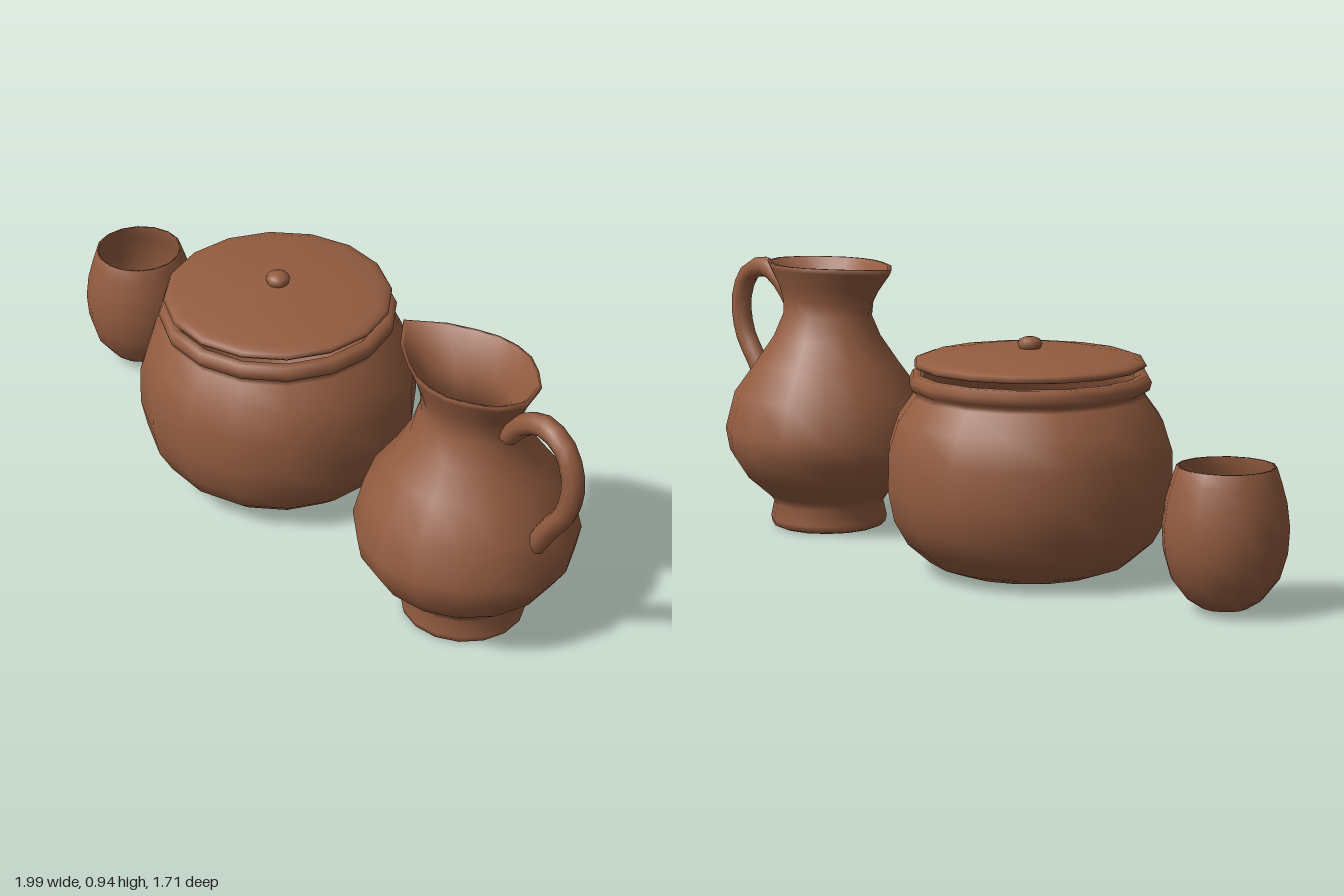
import * as THREE from 'three';
import { mergeVertices } from 'three/addons/utils/BufferGeometryUtils.js';

const SIDES = 16;
const clay = new THREE.MeshStandardMaterial({ color: 0x935c40 });
clay.name = 'clay';

// Turned shape from [radius, height] pairs, with an optional radius rule
function turned(profile, rule) {
  const geo = new THREE.LatheGeometry(profile.map(([r, y]) => new THREE.Vector2(r, y)), SIDES);
  const p = geo.attributes.position;
  if (rule) {
    for (let i = 0; i < p.count; i++) {
      const k = rule(Math.atan2(p.getZ(i), p.getX(i)), p.getY(i));
      p.setX(i, p.getX(i) * k);
      p.setZ(i, p.getZ(i) * k);
    }
  }
  geo.deleteAttribute('uv');
  geo.deleteAttribute('normal');
  const welded = mergeVertices(geo, 1e-5);
  welded.computeVertexNormals();
  return welded;
}

function add(parent, name, geometry) {
  const mesh = new THREE.Mesh(geometry, clay);
  mesh.name = name;
  parent.add(mesh);
  return mesh;
}

function place(parent, name, x, z, degrees) {
  const g = new THREE.Group();
  g.name = name;
  g.position.set(x, 0, z);
  g.rotation.y = THREE.MathUtils.degToRad(degrees);
  parent.add(g);
  return g;
}

// Rim radius from spout tip (first) round to handle side (last)
const RIM = [0.33, 0.25, 0.205, 0.19, 0.185, 0.19, 0.2, 0.23, 0.25];

// Pinches the neck into a spout along -x, fading out down the shoulder
function spoutRule(angle, y) {
  const step = Math.round((Math.PI - Math.abs(angle)) / (Math.PI / 8));
  const t = THREE.MathUtils.smoothstep(y, 0.55, 0.94);
  return THREE.MathUtils.lerp(1, RIM[step] / 0.2, t);
}

export function createModel() {
  const model = new THREE.Group();
  model.name = 'potterySet';

  // Cup
  const cup = place(model, 'cup', -0.802, -0.663, -5);
  add(cup, 'cupBody', turned([
    [0, 0.015], [0.075, 0.016], [0.12, 0.045], [0.17, 0.11], [0.193, 0.19], [0.198, 0.27],
    [0.188, 0.35], [0.17, 0.415], [0.155, 0.46], [0.147, 0.46],
    [0.16, 0.41], [0.18, 0.33], [0.182, 0.22], [0.15, 0.11], [0.08, 0.045], [0, 0.04],
  ]));

  // Round pot with rolled rim
  const pot = place(model, 'pot', -0.162, -0.138, -5);
  add(pot, 'potBody', turned([
    [0, 0.006], [0.26, 0.007], [0.335, 0.035], [0.41, 0.1], [0.455, 0.18], [0.475, 0.28],
    [0.472, 0.41], [0.44, 0.51], [0.385, 0.585], [0.375, 0.597], [0.395, 0.61], [0.402, 0.635],
    [0.39, 0.658], [0.365, 0.66], [0.35, 0.64], [0.355, 0.59], [0.42, 0.48], [0.445, 0.38],
    [0.435, 0.22], [0.36, 0.1], [0.24, 0.05], [0, 0.045],
  ]));

  // Lid, resting just clear of the rim, with a small knob
  const lid = place(model, 'lid', -0.162, -0.138, -5);
  add(lid, 'lidDisc', turned([
    [0, 0.682], [0.3, 0.682], [0.375, 0.68], [0.385, 0.69], [0.378, 0.702], [0.36, 0.707],
    [0.34, 0.715], [0.24, 0.728], [0.12, 0.734], [0.04, 0.738], [0, 0.74],
  ]));
  add(lid, 'lidKnob', turned([
    [0.03, 0.732], [0.037, 0.742], [0.041, 0.755], [0.034, 0.768], [0.018, 0.775], [0, 0.776],
  ]));

  // Jug: local -x is the spout, local +x the handle
  const jug = place(model, 'jug', 0.598, 0.492, -39);
  add(jug, 'jugBody', turned([
    [0, 0.002], [0.185, 0], [0.202, 0.008], [0.207, 0.03], [0.195, 0.085], [0.215, 0.115],
    [0.3, 0.19], [0.35, 0.27], [0.364, 0.35], [0.33, 0.48], [0.25, 0.59], [0.188, 0.68],
    [0.153, 0.76], [0.152, 0.81], [0.167, 0.86], [0.194, 0.92], [0.2, 0.938], [0.188, 0.938],
    [0.155, 0.88], [0.122, 0.82], [0.118, 0.75], [0.16, 0.66], [0.29, 0.48], [0.33, 0.34],
    [0.26, 0.17], [0.16, 0.07], [0, 0.06],
  ], spoutRule));

  // Looped handle
  const path = new THREE.CatmullRomCurve3([
    [0.17, 0.78], [0.235, 0.855], [0.32, 0.898], [0.41, 0.87], [0.457, 0.77],
    [0.44, 0.65], [0.37, 0.54], [0.305, 0.43],
  ].map(([x, y]) => new THREE.Vector3(x, y, 0)));
  add(jug, 'jugHandle', new THREE.TubeGeometry(path, 16, 0.036, 8));

  return model;
}
